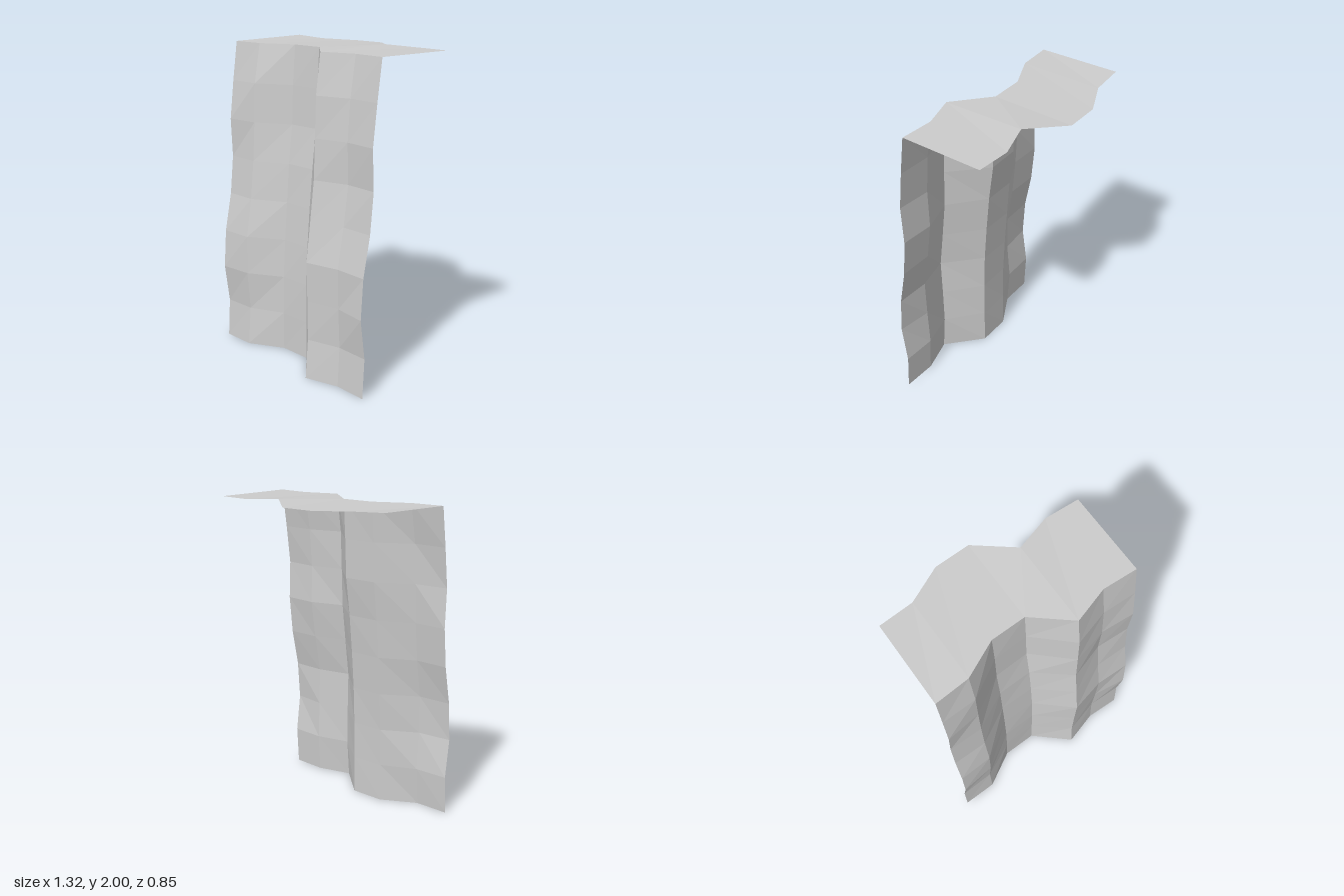
import * as THREE from 'three';

// Triangulated sheet from rows of points, diagonals running lower left to upper right
function sheet(rows, material, name) {
  const n = rows[0].length;
  const index = [];
  for (let r = 0; r < rows.length - 1; r++) {
    for (let c = 0; c < n - 1; c++) {
      const a = r * n + c, b = a + 1, d = a + n, e = d + 1;
      index.push(a, b, e, a, e, d);
    }
  }
  const geometry = new THREE.BufferGeometry();
  geometry.setAttribute('position', new THREE.Float32BufferAttribute(rows.flat(2), 3));
  geometry.setIndex(index);
  const flat = geometry.toNonIndexed();
  flat.computeVertexNormals();
  const mesh = new THREE.Mesh(flat, material);
  mesh.name = name;
  return mesh;
}

export function createModel() {
  const group = new THREE.Group();
  group.name = 'cliffSegment';
  const stone = new THREE.MeshStandardMaterial({ color: 0xcccccc, flatShading: true, side: THREE.DoubleSide });
  stone.name = 'pale grey stone';

  // Depth of each vertical ridge from foot to rim; both ends match so segments tile
  const end = [0.36, 0.345, 0.378, 0.36, 0.31, 0.285, 0.295, 0.265, 0.23];
  const columns = [
    end,
    [0.355, 0.335, 0.355, 0.35, 0.31, 0.285, 0.27, 0.26, 0.215],
    [0.23, 0.23, 0.225, 0.21, 0.19, 0.17, 0.14, 0.13, 0.11],
    [0.225, 0.222, 0.22, 0.21, 0.19, 0.165, 0.13, 0.12, 0.105],
    [0.42, 0.4, 0.402, 0.407, 0.375, 0.345, 0.335, 0.325, 0.29],
    [0.355, 0.34, 0.35, 0.355, 0.31, 0.275, 0.28, 0.26, 0.22],
    end,
  ];
  const x = (c) => (c - 3) * 0.22;
  const rim = 1.99;

  // Wavy rock face
  const wall = end.map((_, r) => columns.map((col, c) => [x(c), (r / 8) * rim, col[r]]));
  group.add(sheet(wall, stone, 'cliffFace'));

  // Ledge running back from the rim with a slightly uneven rear edge
  const backY = [2.0, 1.99, 1.985, 1.985, 2.0, 1.99, 1.99];
  const ledge = [
    wall[8],
    columns.map((col, c) => [x(c), backY[c], col[8] - 0.53]),
  ];
  group.add(sheet(ledge, stone, 'topLedge'));
  return group;
}
